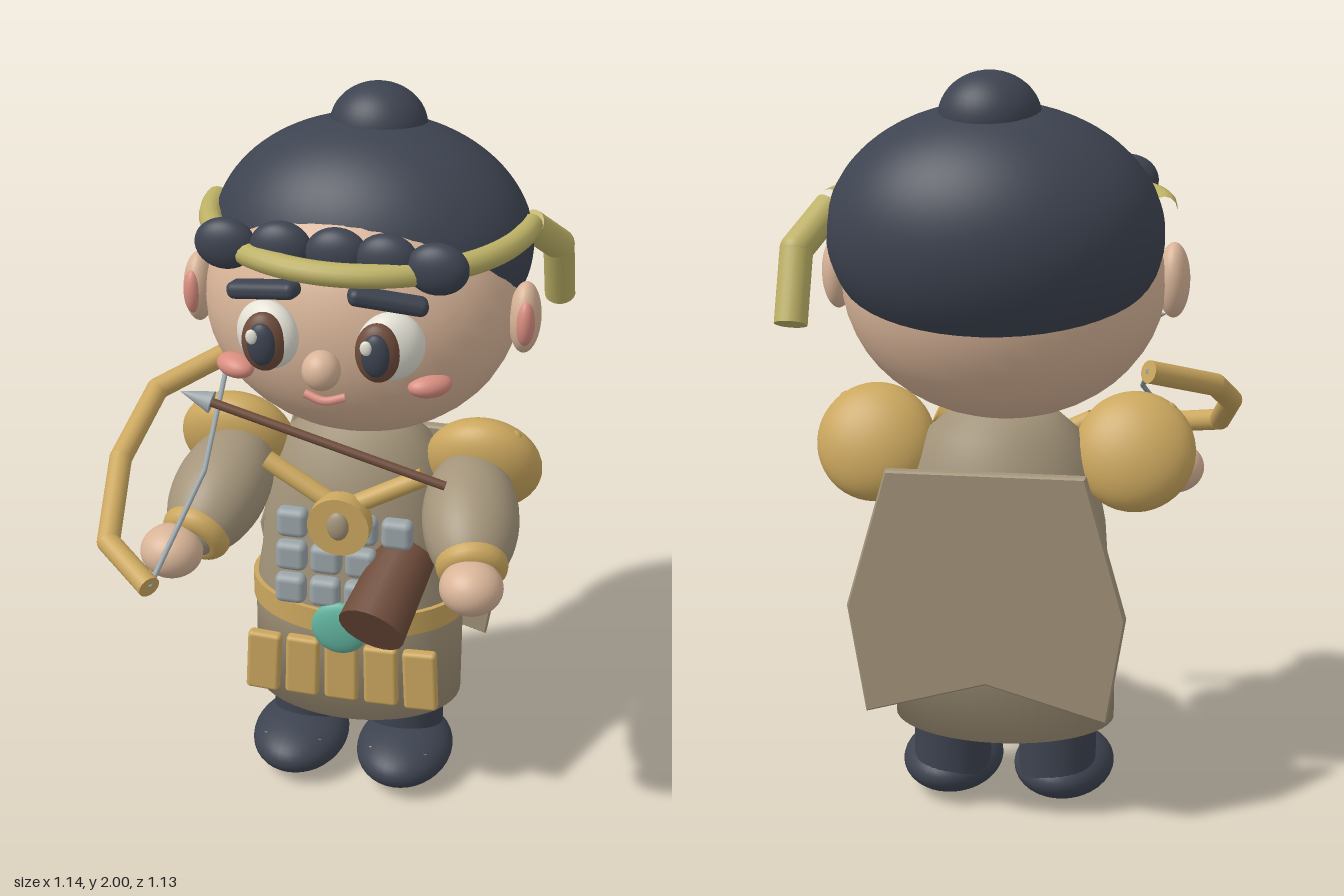
import * as THREE from 'three';
import { RoundedBoxGeometry } from 'three/addons/geometries/RoundedBoxGeometry.js';

const COLORS = {
  hair: 0x3d4350, skin: 0xd8b498, gold: 0xcba75e, cloth: 0xa3947a, band: 0xbdb166,
  wood: 0x6e4c3b, steel: 0x9ba5a9, teal: 0x62b39f, pink: 0xd98d80, white: 0xe4e2d6,
};
const MATS = {};
const CX = 0.037; // body midline

function mat(color) {
  return (MATS[color] ??= new THREE.MeshStandardMaterial({ color: COLORS[color] }));
}

export function createModel() {
  const model = new THREE.Group();
  const V = (p) => new THREE.Vector3(...p);

  function add(name, color, geometry, pos = [0, 0, 0], rot = [0, 0, 0]) {
    const mesh = new THREE.Mesh(geometry, mat(color));
    mesh.name = name;
    mesh.position.set(...pos);
    mesh.rotation.set(...rot);
    model.add(mesh);
    return mesh;
  }
  function ball(name, color, pos, radii, rot) {
    const mesh = add(name, color, new THREE.SphereGeometry(1, 36, 24), pos, rot);
    mesh.scale.set(...radii);
    return mesh;
  }
  // Cylinder or cone from point a to point b
  function rod(name, color, a, b, r, rEnd = r) {
    const d = V(b).sub(V(a));
    const mesh = add(name, color, new THREE.CylinderGeometry(rEnd, r, d.length(), 20));
    mesh.position.copy(V(a)).addScaledVector(d, 0.5);
    mesh.quaternion.setFromUnitVectors(new THREE.Vector3(0, 1, 0), d.normalize());
    return mesh;
  }
  // Segmented tube with rounded joints
  function chain(name, color, pts, r) {
    for (let i = 1; i < pts.length; i++) {
      rod(name, color, pts[i - 1], pts[i], r);
      if (i < pts.length - 1) ball(name + 'Joint', color, pts[i], [r, r, r]);
    }
  }

  // Head, hair cap cut by a plane sloping down to the nape, and bun
  ball('head', 'skin', [CX, 1.45, -0.145], [0.42, 0.36, 0.335]);
  const hair = add('hairCap', 'hair',
    new THREE.SphereGeometry(1, 48, 28, 0, Math.PI * 2, 0, Math.PI * 0.61), [0.045, 1.59, -0.235], [-0.36, 0, 0]);
  hair.scale.set(0.43, 0.33, 0.33);
  ball('bun', 'hair', [0.05, 1.885, -0.275], [0.13, 0.115, 0.115]);

  // Headband around the front, with a hanging tail
  const arc = [];
  for (let i = 0; i <= 24; i++) {
    const a = Math.PI * i / 24;
    arc.push(new THREE.Vector3(0.042 + 0.425 * Math.cos(a), 1.66, -0.24 + 0.445 * Math.sin(a)));
  }
  add('headband', 'band', new THREE.TubeGeometry(new THREE.CatmullRomCurve3(arc), 64, 0.031, 12));
  chain('headbandTail', 'band', [[0.46, 1.65, -0.265], [0.525, 1.56, -0.37], [0.525, 1.385, -0.45]], 0.042);

  // Row of hair rolls over the forehead
  [-0.26, -0.112, 0.035, 0.165, 0.295].forEach((x, i) =>
    ball('hairRoll', 'hair', [x, 1.685 - (i % 4 ? 0 : 0.008), 0.11 + i * 0.01], [0.08, 0.068, 0.043]));

  // Paired facial features
  for (const s of [-1, 1]) {
    const x = 0.025 + s * 0.16;
    ball('eyeWhite', 'white', [x, 1.465, 0.17], [0.087, 0.092, 0.055], [0, s * 0.3, 0]);
    ball('iris', 'wood', [0.013 + s * 0.147, 1.463, 0.212], [0.058, 0.08, 0.035]);
    ball('pupil', 'hair', [0.013 + s * 0.147, 1.465, 0.236], [0.037, 0.058, 0.022]);
    ball('eyeGlint', 'white', [-0.008 + s * 0.147, 1.492, 0.255], [0.015, 0.02, 0.008]);
    add('eyebrow', 'hair', new RoundedBoxGeometry(0.205, 0.045, 0.06, 3, 0.02),
      [0.018 + s * 0.16, 1.592, 0.18], [0, s * 0.3, -s * 0.2]);
    ball('cheek', 'pink', [0.018 + s * 0.258, 1.34, 0.112], [0.06, 0.031, 0.04], [0, s * 0.6, 0]);
    ball('ear', 'skin', [0.04 + s * 0.44, 1.455, -0.11], [0.042, 0.098, 0.06]);
    ball('innerEar', 'pink', [0.04 + s * 0.447, 1.455, -0.07], [0.025, 0.062, 0.03]);
  }
  ball('nose', 'skin', [0.013, 1.395, 0.205], [0.05, 0.053, 0.05]);
  const lip = new THREE.CatmullRomCurve3([[-0.04, 1.305, 0.163], [0.013, 1.293, 0.172], [0.066, 1.305, 0.163]].map(V));
  add('mouth', 'pink', new THREE.TubeGeometry(lip, 12, 0.012, 8));

  // Tunic
  const profile = [[0, 0.25], [0.298, 0.25], [0.298, 0.56], [0.278, 0.68], [0.27, 0.8], [0.245, 0.93],
    [0.2, 1.05], [0.12, 1.12], [0, 1.14]].map((p) => new THREE.Vector2(...p));
  const tunic = add('tunic', 'cloth', new THREE.LatheGeometry(profile, 48), [CX, 0, -0.14]);
  tunic.scale.z = 0.73;
  const belt = add('belt', 'gold', new THREE.CylinderGeometry(0.305, 0.305, 0.07, 48), [CX, 0.565, -0.14]);
  belt.scale.z = 0.74;

  // Chest plates
  for (let row = 0; row < 3; row++) for (let col = 0; col < 4; col++) {
    add('chestPlate', 'steel', new RoundedBoxGeometry(0.086, 0.086, 0.05, 3, 0.02),
      [-0.105 + col * 0.097, 0.86 - row * 0.097, 0.058 + row * 0.012]);
  }

  // Chest straps and brooch
  for (const s of [-1, 1]) rod('chestStrap', 'gold', [CX, 0.925, 0.075], [CX + s * 0.215, 1.035, 0.045], 0.026);
  add('brooch', 'gold', new THREE.CylinderGeometry(0.085, 0.085, 0.05, 32), [CX, 0.895, 0.1], [Math.PI / 2, 0, 0]);
  ball('broochStone', 'cloth', [CX, 0.9, 0.125], [0.03, 0.042, 0.018]);

  // Belt ornament and hanging pouches
  ball('beltOrnament', 'teal', [CX, 0.565, 0.1], [0.08, 0.08, 0.026]);
  for (let i = -2; i <= 2; i++) {
    add('pouch', 'gold', new RoundedBoxGeometry(0.095, 0.185, 0.036, 3, 0.012),
      [CX + i * 0.112, 0.412, 0.075], [0, 0, i * 0.025]);
  }

  // Quiver at the hip
  rod('quiver', 'wood', [0.2, 0.765, 0], [0.15, 0.645, 0.215], 0.082, 0.094);

  // Shoulders, arms, cuffs and hands
  for (const s of [-1, 1]) {
    ball('shoulderPad', 'gold', [CX + s * 0.345, 1.0, -0.135], [0.16, 0.16, 0.092], [0.42, 0, -s * 0.15]);
    ball('shoulderRivet', 'gold', [CX + s * 0.43, 1.105, -0.1], [0.022, 0.022, 0.022]);
    const a = V([CX + s * 0.315, 1.0, -0.1]), b = V([CX + s * 0.375, 0.86, 0.2]);
    const dir = b.clone().sub(a).normalize();
    const up = new THREE.Vector3(0, 1, 0);
    const arm = ball('arm', 'cloth', a.clone().lerp(b, 0.5).toArray(), [0.13, 0.21, 0.125]);
    arm.quaternion.setFromUnitVectors(up, dir);
    const cuff = add('cuff', 'gold', new THREE.TorusGeometry(0.058, 0.038, 16, 32), [CX + s * 0.375, 0.865, 0.185]);
    cuff.quaternion.setFromUnitVectors(new THREE.Vector3(0, 0, 1), dir);
    ball('hand', 'skin', [0.02 + s * 0.405, 0.845, 0.26], [0.084, 0.072, 0.082]);
  }

  // Legs and shoes with toe trims
  for (const s of [-1, 1]) {
    add('leg', 'hair', new THREE.CylinderGeometry(0.105, 0.105, 0.22, 32), [CX + s * 0.145, 0.2, -0.14]);
    const x = CX + s * 0.155;
    ball('shoe', 'hair', [x, 0.083, -0.07], [0.137, 0.08, 0.185]);
    for (const t of [-1, 1]) {
      const trim = add('shoeTrim', 'gold', new THREE.ConeGeometry(0.035, 0.07, 3),
        [x + t * 0.067, 0.117, 0.015], [0.9, 0, -t * 0.5]);
      trim.scale.z = 0.6;
    }
  }

  // Flat back panel with a notched hem
  const panel = new THREE.Shape([[-0.2, 0.985], [-0.305, 0.61], [-0.26, 0.33], [0.055, 0.42],
    [0.37, 0.33], [0.415, 0.62], [0.31, 0.985]].map((p) => new THREE.Vector2(...p)));
  add('backPanel', 'cloth', new THREE.ExtrudeGeometry(panel,
    { depth: 0.022, bevelSize: 0.005, bevelThickness: 0.006, bevelSegments: 1 }), [0, 0, -0.363]);

  // Bow and string
  const bow = [[-0.345, 1.23, -0.19], [-0.51, 1.165, -0.045], [-0.543, 1.065, 0.185],
    [-0.503, 0.945, 0.42], [-0.355, 0.9, 0.54]];
  chain('bow', 'gold', bow, 0.03);
  chain('bowString', 'steel', [bow[0], [-0.295, 1.085, 0.235], bow[4]], 0.007);

  // Arrow
  rod('arrowShaft', 'wood', [0.34, 1.107, 0.21], [-0.3, 1.28, 0.21], 0.012);
  rod('arrowHead', 'steel', [-0.277, 1.274, 0.21], [-0.36, 1.296, 0.21], 0.03, 0.001);

  return model;
}
